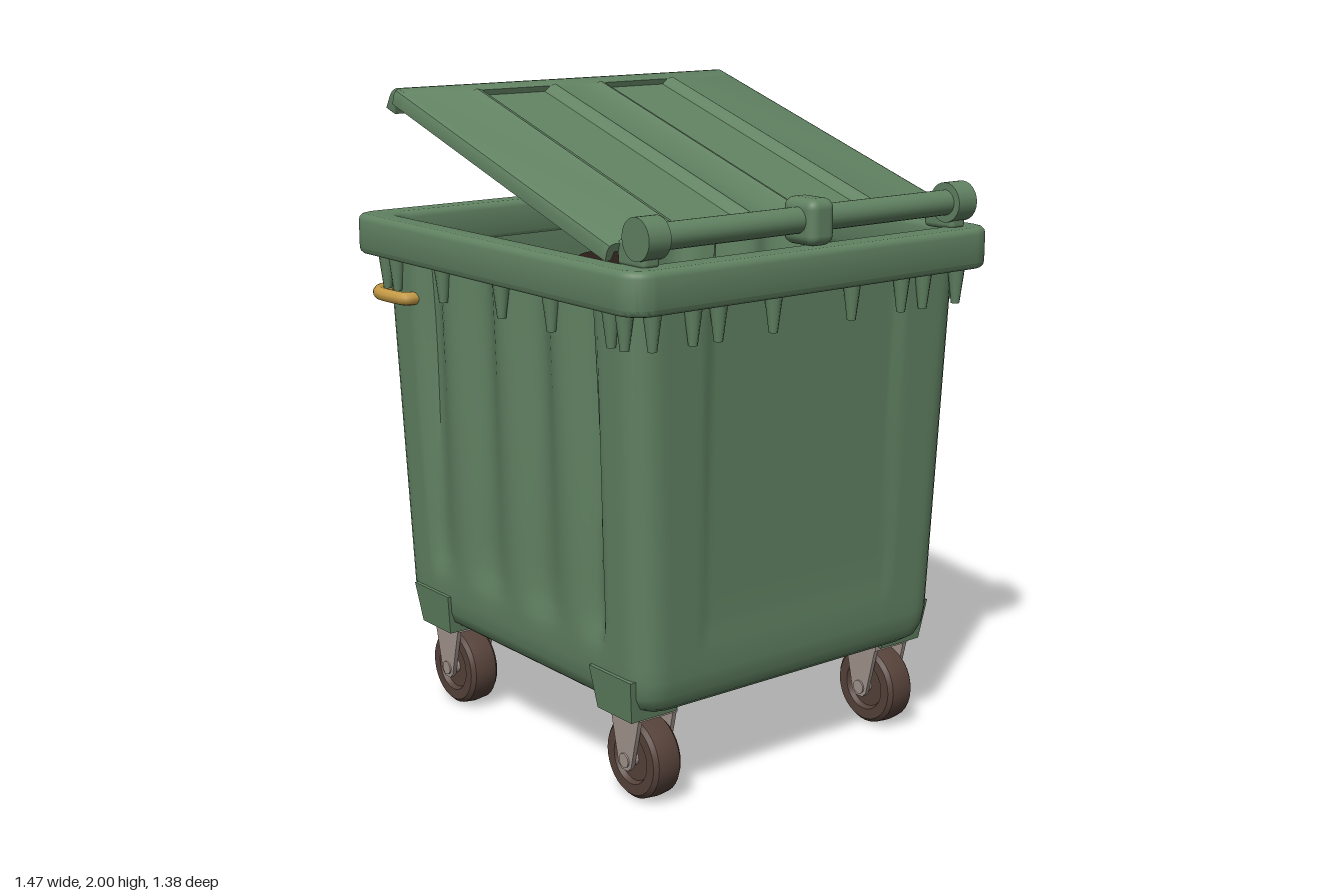
import * as THREE from 'three';
import { toCreasedNormals } from 'three/addons/utils/BufferGeometryUtils.js';
import { RoundedBoxGeometry } from 'three/addons/geometries/RoundedBoxGeometry.js';

const mat = (name, color, side = THREE.FrontSide) => {
  const m = new THREE.MeshStandardMaterial({ color, side });
  m.name = name;
  return m;
};
const smooth = THREE.MathUtils.smoothstep;

// Rounded rectangle path
function roundedRect(path, x0, y0, x1, y1, r) {
  path.moveTo(x0 + r, y0).lineTo(x1 - r, y0);
  path.absarc(x1 - r, y0 + r, r, -Math.PI / 2, 0);
  path.lineTo(x1, y1 - r).absarc(x1 - r, y1 - r, r, 0, Math.PI / 2);
  path.lineTo(x0 + r, y1).absarc(x0 + r, y1 - r, r, Math.PI / 2, Math.PI);
  path.lineTo(x0, y0 + r).absarc(x0 + r, y0 + r, r, Math.PI, Math.PI * 1.5);
  return path;
}

// One horizontal section of the tub, with flutes on the long sides
function tubSection(y, inset) {
  const t = Math.max(0, (y - 0.4) / 1.08), r = 0.085;
  const hx = 0.638 + 0.028 * t - inset, hz = 0.58 + 0.043 * t - inset;
  const grow = smooth(y, 0.45, 0.56) * (0.5 + 0.5 * smooth(y, 0.5, 1.4));
  const flute = x => 0.05 * grow * (0.5 - 0.5 * Math.cos(x * 2 * Math.PI / 0.285))
    * (1 - smooth(Math.abs(x), 0.43, 0.47));
  const panel = z => 0.012 * grow * (1 - smooth(Math.abs(z), 0.35, 0.38));
  const hollow = z => 0.05 * smooth(y, 1.1, 1.45) * (1 - smooth(Math.abs(z), 0.36, 0.44));
  const pts = [], n = 48;
  const corner = (sx, sz, a0) => {
    for (let i = 0; i <= 6; i++) {
      const a = a0 + i / 6 * Math.PI / 2;
      pts.push([sx * (hx - r) + r * Math.cos(a), sz * (hz - r) + r * Math.sin(a)]);
    }
  };
  const side = fn => { for (let i = 1; i < n; i++) pts.push(fn(1 - 2 * i / n)); };
  corner(1, 1, 0);
  side(k => { const x = k * (hx - r); return [x, hz - flute(x)]; });
  corner(-1, 1, Math.PI / 2);
  side(k => { const z = k * (hz - r); return [-hx + hollow(z), z]; });
  corner(-1, -1, Math.PI);
  side(k => { const x = -k * (hx - r); return [x, -hz + flute(x)]; });
  corner(1, -1, Math.PI * 1.5);
  side(k => { const z = -k * (hz - r); return [hx - panel(z), z]; });
  return pts;
}

// Joins [y, inset] sections into a shell closed at the bottom
function tubShell(levels, inward) {
  const pos = [], idx = [];
  let n = 0;
  for (const [y, inset] of levels) {
    const s = tubSection(y, inset);
    n = s.length;
    for (const [x, z] of s) pos.push(x, y, z);
  }
  const tri = (a, b, c) => inward ? idx.push(a, c, b) : idx.push(a, b, c);
  for (let j = 0; j < levels.length - 1; j++) for (let i = 0; i < n; i++) {
    const a = j * n + i, b = j * n + (i + 1) % n;
    tri(a, a + n, b);
    tri(b, a + n, b + n);
  }
  const c = pos.length / 3;
  pos.push(0, levels[0][0], 0);
  for (let i = 0; i < n; i++) tri(c, i, (i + 1) % n);
  const g = new THREE.BufferGeometry();
  g.setAttribute('position', new THREE.Float32BufferAttribute(pos, 3));
  g.setIndex(idx);
  return toCreasedNormals(g, 0.7);
}

export function createModel() {
  const root = new THREE.Group();
  const green = mat('green plastic', 0x618262);
  const greenThin = mat('green sheet', 0x618262, THREE.DoubleSide);
  const brown = mat('brown rubber', 0x56423a, THREE.DoubleSide);
  const steel = mat('dull steel', 0xa2948c);
  const yellow = mat('yellow grip', 0xc49a45);
  const navy = mat('dark blue rubber', 0x2f3c4a, THREE.DoubleSide);
  const dirt = mat('dark dirt', 0x3a2a22, THREE.DoubleSide);
  const add = (name, geo, m, x = 0, y = 0, z = 0, parent = root) => {
    const mesh = new THREE.Mesh(geo, m);
    mesh.name = name;
    mesh.position.set(x, y, z);
    parent.add(mesh);
    return mesh;
  };
  const extrude = (shape, depth, bevel = 0) => toCreasedNormals(new THREE.ExtrudeGeometry(shape, {
    depth, bevelEnabled: bevel > 0, bevelSize: bevel, bevelThickness: bevel, bevelOffset: -bevel, bevelSegments: 3, curveSegments: 8 }), 0.6);

  // Tub, outside and inside
  const heights = [0.4, 0.45, 0.48, 0.52, 0.56, 0.65, 0.8, 0.95, 1.1, 1.2, 1.3, 1.4, 1.5];
  add('tubOutside', tubShell([[0.29, 0.08], [0.297, 0.045], [0.315, 0.02], [0.35, 0.006], ...heights.map(y => [y, 0])]), green);
  add('tubInside', tubShell([[0.33, 0.07], [0.36, 0.03], ...heights.map(y => [y, 0.02])], true), green);
  const stain = add('innerStain', new THREE.CircleGeometry(0.3, 32), dirt, -0.584, 1.12, -0.18);
  stain.rotation.y = Math.PI / 2;
  stain.scale.x = 1.15;

  // Rim collar
  const rimShape = roundedRect(new THREE.Shape(), -0.735, -0.69, 0.735, 0.69, 0.085);
  rimShape.holes.push(roundedRect(new THREE.Path(), -0.635, -0.595, 0.63, 0.595, 0.07));
  const rimGeo = extrude(rimShape, 0.085, 0.02);
  rimGeo.rotateX(-Math.PI / 2);
  add('rim', rimGeo, green, 0, 1.5, 0);

  // Tapered gussets below the rim
  const gussetGeo = new THREE.CylinderGeometry(0.027, 0.013, 0.11, 10);
  const gusset = (x, z) => add('rimGusset', gussetGeo, green, x, 1.43, z);
  for (const s of [-1, 1]) {
    for (const x of [-0.61, -0.55, -0.285, 0.03, 0.28, 0.56, 0.62]) gusset(x, s * 0.63);
    for (const z of [-0.58, -0.44, -0.35, -0.15, 0.15, 0.35, 0.44, 0.58]) gusset(s * 0.677, z);
  }

  // Lid: a tilted sheet with two sunk panels, side skirts and a curled front lip
  const lid = new THREE.Group();
  lid.name = 'lid';
  lid.position.set(-0.49, 2.0, 0);
  lid.rotation.z = -0.308;
  root.add(lid);
  const half = [[0, 0], [0.075, 0], [0.09, 0.006], [0.108, 0], [0.125, -0.018], [0.35, -0.018],
    [0.365, 0], [0.385, 0.006], [0.4, 0], [0.63, 0], [0.645, -0.006], [0.65, -0.02], [0.65, -0.05],
    [0.632, -0.05], [0.625, -0.024], [0.38, -0.024], [0.36, -0.038], [0.115, -0.038], [0.095, -0.024], [0, -0.024]];
  const flat = half.filter(p => p[0] === 0 || p[0] > 0.4);
  const lidSheet = (list, length, x) => {
    const pts = [...list, ...list.slice(1, -1).reverse().map(([a, b]) => [-a, b])];
    const g = extrude(new THREE.Shape(pts.map(p => new THREE.Vector2(...p))), length);
    g.rotateY(Math.PI / 2);
    add('lidSheet', g, greenThin, x, 0, 0, lid);
  };
  lidSheet(flat, 0.05, -0.01);
  lidSheet(half, 1.06, 0.04);
  lidSheet(flat, 0.02, 1.1);
  const lip = new THREE.Shape();
  lip.moveTo(0.02, 0).lineTo(-0.005, 0).quadraticCurveTo(-0.045, -0.005, -0.055, -0.04);
  lip.lineTo(-0.065, -0.085).lineTo(-0.015, -0.085).lineTo(-0.015, -0.05);
  lip.quadraticCurveTo(-0.01, -0.025, 0.02, -0.024);
  add('lidLip', extrude(lip, 1.26, 0.008), green, 0, 0, -0.63, lid);

  // Hinge bar with collars and brackets
  const bar = (name, r, len, z) => {
    add(name, new THREE.CylinderGeometry(r, r, len, 24), green, 0.655, 1.68, z).rotation.x = Math.PI / 2;
  };
  bar('hingeBar', 0.038, 1.2, 0);
  for (const s of [-1, 1]) {
    bar('hingeCollar', 0.06, 0.075, s * 0.582);
    add('hingeBracket', new RoundedBoxGeometry(0.12, 0.075, 0.06, 2, 0.015), green, 0.62, 1.635, s * 0.582);
  }
  add('hingeBlock', new RoundedBoxGeometry(0.135, 0.135, 0.095, 3, 0.03), green, 0.652, 1.675, 0);

  // Castors
  const forkShape = new THREE.Shape([[-0.07, 0.155], [-0.03, -0.015], [-0.015, -0.03], [0.015, -0.03], [0.03, -0.015], [0.07, 0.155]]
    .map(p => new THREE.Vector2(...p)));
  const wheelProfile = [[0.02, -0.035], [0.07, -0.035], [0.078, -0.05], [0.11, -0.05], [0.122, -0.038], [0.126, 0],
    [0.122, 0.038], [0.11, 0.05], [0.078, 0.05], [0.07, 0.035], [0.02, 0.035]].map(p => new THREE.Vector2(...p));
  const wheelGeo = toCreasedNormals(new THREE.LatheGeometry(wheelProfile, 32), 0.6);
  wheelGeo.rotateX(Math.PI / 2);
  const mountGeo = new THREE.CylinderGeometry(0.14, 0.115, 0.13, 4, 1).rotateY(Math.PI / 4);
  for (const x of [-0.465, 0.49]) for (const s of [-1, 1]) {
    const castor = new THREE.Group();
    castor.name = 'castor';
    castor.position.set(x, 0.128, s * 0.468);
    root.add(castor);
    add('wheel', wheelGeo, brown, 0, 0, 0, castor);
    add('axle', new THREE.CylinderGeometry(0.022, 0.022, 0.15, 12), steel, 0, 0, 0, castor).rotation.x = Math.PI / 2;
    for (const k of [-1, 1]) add('forkPlate', extrude(forkShape, 0.014), steel, 0, 0, k * 0.063 - 0.007, castor);
    add('forkCrown', new THREE.BoxGeometry(0.14, 0.018, 0.14), steel, 0, 0.147, 0, castor);
    add('castorMount', toCreasedNormals(mountGeo, 0.3), green, 0, 0.213, s * 0.025, castor);
  }

  // Ring on the side wall, blue with brown inner and part of the outer edge
  const ring = new THREE.Group();
  ring.name = 'sideRing';
  ring.position.set(-0.655, 0.967, 0);
  ring.rotation.z = Math.PI / 2;
  ring.scale.z = 1.1;
  root.add(ring);
  const lathe = (name, pts, m, a = 0, len = Math.PI * 2) =>
    add(name, new THREE.LatheGeometry(pts.map(p => new THREE.Vector2(...p)), 40, a, len), m, 0, 0, 0, ring);
  lathe('ringFace', [[0.203, 0.055], [0.195, 0.07], [0.175, 0.079], [0.155, 0.075], [0.135, 0.055]], navy);
  lathe('ringInner', [[0.135, 0.055], [0.132, 0]], brown);
  const outer = [[0.2, 0], [0.206, 0.025], [0.203, 0.055]];
  lathe('ringOuterBrown', outer, brown, -1.9, 2.33);
  lathe('ringOuterBlue', outer, navy, 0.43, Math.PI * 2 - 2.33);
  for (const y of [0.885, 1.06]) for (const s of [-1, 1])
    add('ringGrip', new RoundedBoxGeometry(0.055, 0.036, 0.13, 2, 0.015), yellow, -0.69, y, s * 0.235);

  // Corner handle
  const path = new THREE.CatmullRomCurve3([[-0.63, 0.5], [-0.675, 0.52], [-0.682, 0.6], [-0.63, 0.648], [-0.52, 0.65], [-0.485, 0.64], [-0.48, 0.59]]
    .map(([x, z]) => new THREE.Vector3(x, 1.358, z)));
  add('cornerHandle', new THREE.TubeGeometry(path, 40, 0.021, 10), yellow);

  return root;
}
